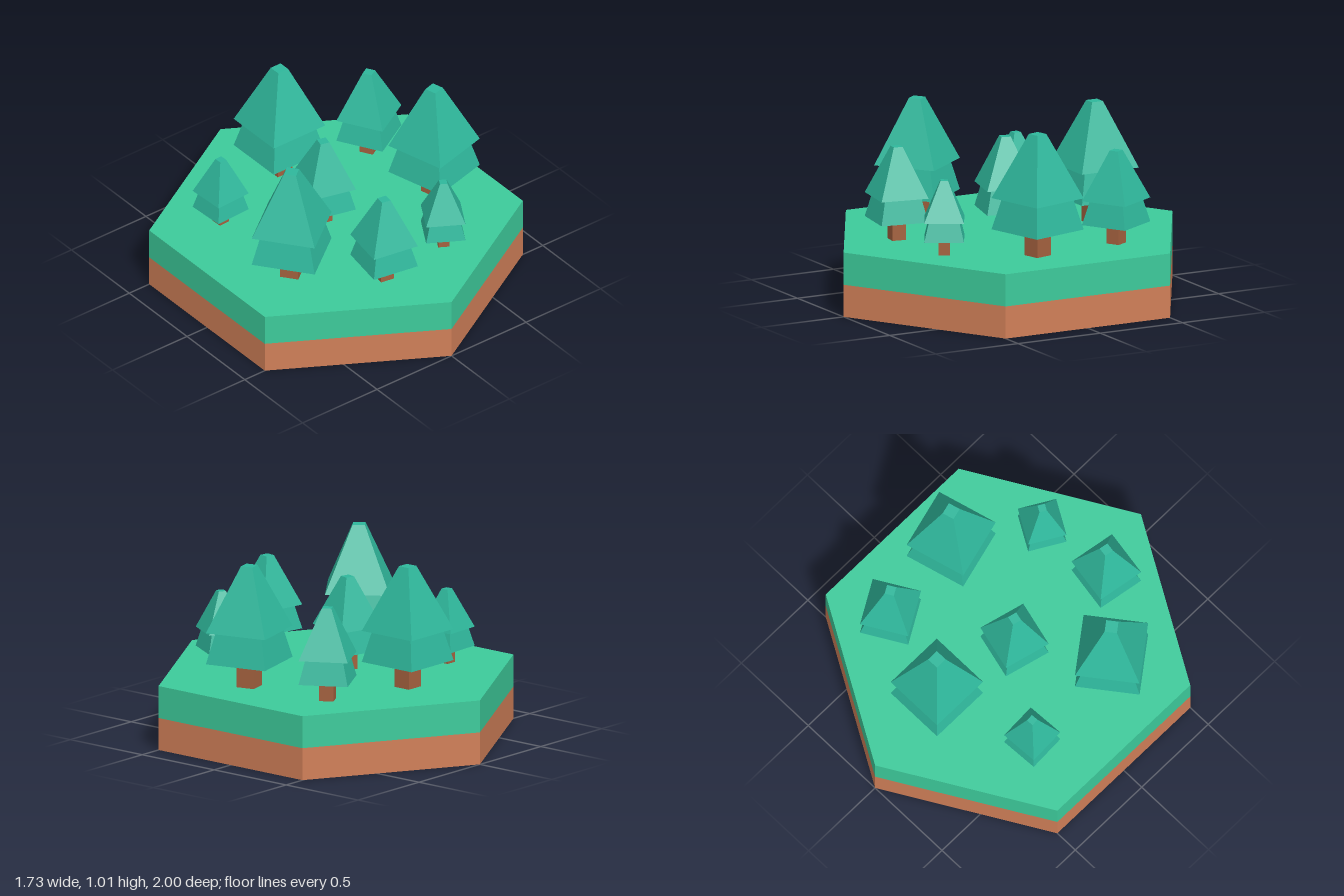
import * as THREE from 'three';

const material = (color) => new THREE.MeshStandardMaterial({ color, flatShading: true });

export function createModel() {
  const model = new THREE.Group();
  model.name = 'forestTile';

  const grass = material(0x3dcb9b);
  const soil = material(0xd07f58);
  const leaf = material(0x2fb89c);
  const bark = material(0xa5623f);

  // Prism or frustum standing on y = bottom
  function addPart(parent, name, mat, sides, rTop, rBottom, bottom, top) {
    const geometry = new THREE.CylinderGeometry(rTop, rBottom, top - bottom, sides);
    if (sides === 4) geometry.rotateY(Math.PI / 4);
    geometry.translate(0, (bottom + top) / 2, 0);
    const mesh = new THREE.Mesh(geometry, mat);
    mesh.name = name;
    parent.add(mesh);
  }

  // Square frustum given by half widths
  const addSquare = (parent, name, mat, top, bottom, y0, y1) =>
    addPart(parent, name, mat, 4, top * Math.SQRT2, bottom * Math.SQRT2, y0, y1);

  // Hexagonal ground in two layers
  addPart(model, 'soilLayer', soil, 6, 1, 1, 0, 0.175);
  addPart(model, 'grassLayer', grass, 6, 1, 1, 0.175, 0.35);

  // Trees: x, z, scale, turn
  const trees = [
    [0.02, -0.515, 1, 0],
    [0.556, 0.132, 1, 0.26],
    [-0.507, 0.269, 1, 0.65],
    [0.509, -0.372, 0.765, 0.524],
    [-0.07, -0.021, 0.765, -0.25],
    [-0.141, 0.598, 0.765, -0.165],
    [-0.514, -0.335, 0.61, 0.05],
    [0.292, 0.551, 0.61, -0.524],
  ];
  trees.forEach(([x, z, scale, turn], i) => {
    const tree = new THREE.Group();
    tree.name = `tree${i + 1}`;
    addSquare(tree, 'trunk', bark, 0.05, 0.05, 0, 0.14);
    addSquare(tree, 'lowerFoliage', leaf, 0.133, 0.173, 0.14, 0.31);
    addSquare(tree, 'upperFoliage', leaf, 0.033, 0.173, 0.31, 0.66);
    tree.position.set(x, 0.35, z);
    tree.rotation.y = turn;
    tree.scale.setScalar(scale);
    model.add(tree);
  });

  return model;
}
